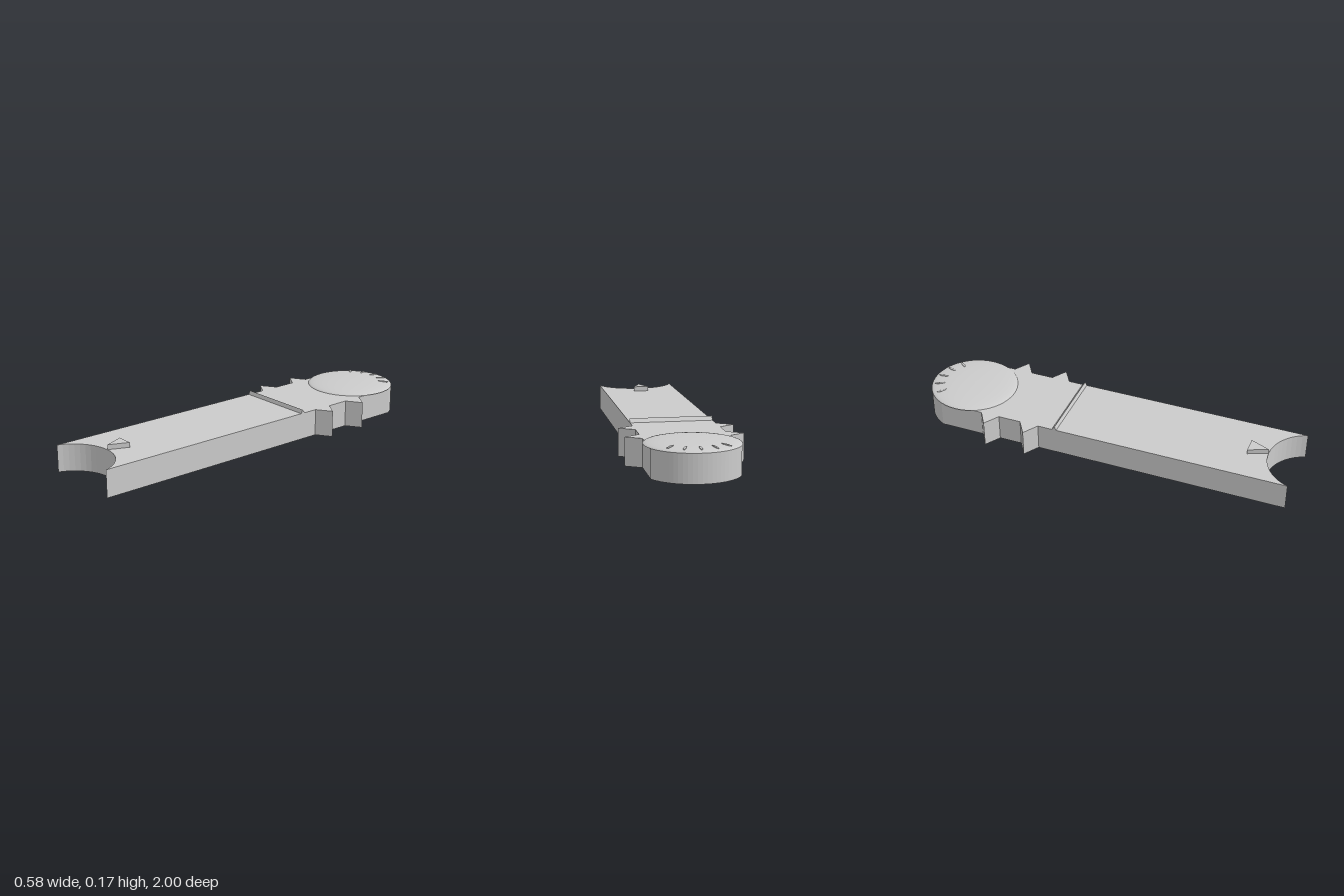
import * as THREE from 'three';

const W = 0.21;        // half width of the strap
const H = 0.14;        // thickness
const HEAD_Z = -0.77;  // centre of the round head
const HEAD_R = 0.23;

export function createModel() {
  const group = new THREE.Group();
  const material = new THREE.MeshStandardMaterial({ color: 0xcccccc, flatShading: true });
  const smooth = new THREE.MeshStandardMaterial({ color: 0xcccccc });

  const add = (name, geometry, mat = material) => {
    const mesh = new THREE.Mesh(geometry, mat);
    mesh.name = name;
    group.add(mesh);
    return mesh;
  };
  // Extrudes a plan outline of [x, z] points upward from height y
  const slab = (points, y, height) => {
    const shape = new THREE.Shape(points.map(([x, z]) => new THREE.Vector2(x, -z)));
    return new THREE.ExtrudeGeometry(shape, { depth: height, bevelEnabled: false })
      .rotateX(-Math.PI / 2).translate(0, y, 0);
  };

  // Strap outline: side with two pointed teeth, then the round head
  const side = [[W, 1]];
  for (const z of [-0.36, -0.58]) side.push([W, z + 0.05], [0.288, z], [W, z - 0.05]);
  const outline = [...side];
  const start = Math.acos(W / HEAD_R);
  for (let i = 0; i <= 24; i++) {
    const a = start + (Math.PI - 2 * start) * i / 24;
    outline.push([HEAD_R * Math.cos(a), HEAD_Z - HEAD_R * Math.sin(a)]);
  }
  outline.push(...side.map(([x, z]) => [-x, z]).reverse());
  // Concave front end
  const notchR = 0.222, notchZ = 1.072, half = Math.asin(W / notchR);
  for (let i = 1; i < 20; i++) {
    const a = -half + 2 * half * i / 20;
    outline.push([notchR * Math.sin(a), notchZ - notchR * Math.cos(a)]);
  }
  add('strapBody', slab(outline, 0, H));

  // Shallow domed cap on the head
  const profile = [];
  for (let i = 0; i <= 12; i++) {
    const a = Math.PI / 2 * i / 12;
    profile.push(new THREE.Vector2(HEAD_R * Math.cos(a), H + 0.022 * Math.sin(a)));
  }
  add('headDome', new THREE.LatheGeometry(profile, 48), smooth).position.z = HEAD_Z;

  // Five slim marks fanned around the back of the dome
  for (let i = -2; i <= 2; i++) {
    const a = i * THREE.MathUtils.degToRad(22);
    const mark = add('headMark', new THREE.SphereGeometry(1, 8, 6));
    mark.scale.set(0.007, 0.004, 0.029);
    mark.rotation.set(-0.1, -a, 0, 'YXZ');
    mark.position.set(0.185 * Math.sin(a), 0.154, HEAD_Z - 0.185 * Math.cos(a));
  }

  // Triangular ridge across the strap
  const ridge = new THREE.Shape([
    new THREE.Vector2(0.208, H - 0.002), new THREE.Vector2(0.235, H - 0.002), new THREE.Vector2(0.217, 0.16),
  ]);
  add('crossRidge', new THREE.ExtrudeGeometry(ridge, { depth: 2 * W, bevelEnabled: false })
    .rotateY(Math.PI / 2).translate(-W, 0, 0));

  // Raised pointer by the concave end
  add('pointer', slab([[-0.042, 0.75], [0, 0.85], [0.042, 0.75]], H, 0.025));

  return group;
}
